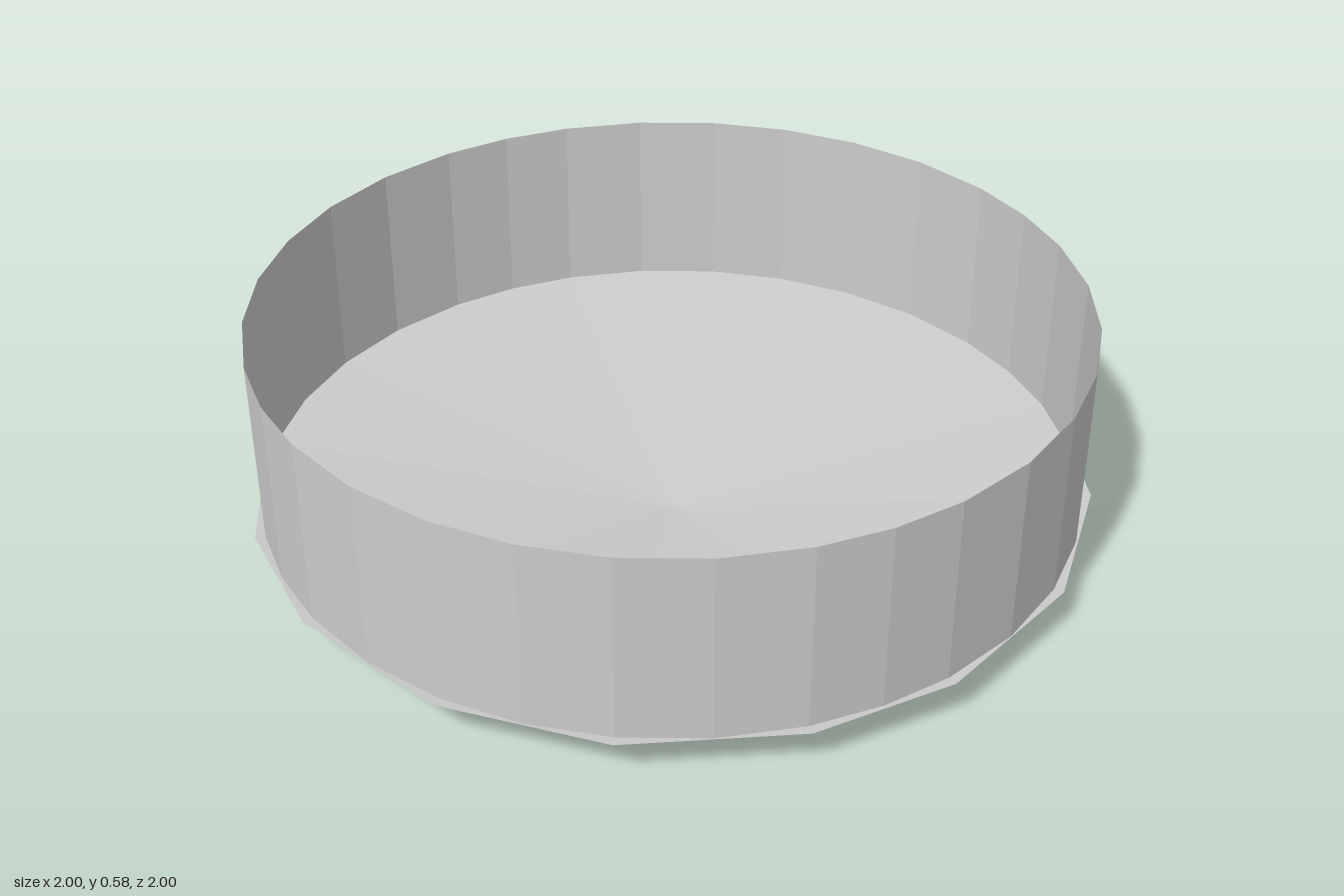
import * as THREE from 'three';

const FLOOR_RADIUS = 1.01;
const WALL_RADIUS = 0.986;
const RIM_Y = 0.577;
const BASE_Y = 0.118;

// Slightly uneven corner angles (degrees from +z), repeated every quarter turn
const QUARTER = [8.1, 30.8, 54.3, 74.2];
const cornerAngle = (i) => QUARTER[i % 4] + 90 * Math.floor(i / 4);

// Open ring whose columns are moved to the uneven corner angles
function ring(topRadius, bottomRadius, yBottom, yTop, steps) {
  const sides = 16 * steps;
  const geometry = new THREE.CylinderGeometry(topRadius, bottomRadius, yTop - yBottom, sides, 1, true);
  geometry.translate(0, (yTop + yBottom) / 2, 0);
  const p = geometry.attributes.position;
  for (let v = 0; v < p.count; v++) {
    const column = v % (sides + 1);
    const corner = Math.floor(column / steps);
    const a = THREE.MathUtils.degToRad(
      THREE.MathUtils.lerp(cornerAngle(corner), cornerAngle(corner + 1), (column % steps) / steps));
    const r = Math.hypot(p.getX(v), p.getZ(v));
    p.setX(v, r * Math.sin(a));
    p.setZ(v, r * Math.cos(a));
  }
  geometry.computeVertexNormals();
  return geometry;
}

export function createModel() {
  const group = new THREE.Group();
  group.name = 'shallowPan';
  const material = new THREE.MeshStandardMaterial({
    color: 0xcccccc, flatShading: true, side: THREE.DoubleSide,
  });
  const add = (name, geometry) => {
    const mesh = new THREE.Mesh(geometry, material);
    mesh.name = name;
    group.add(mesh);
  };

  // Thin upright wall, two facets per floor side
  add('wall', ring(WALL_RADIUS, WALL_RADIUS, BASE_Y, RIM_Y, 2));
  // Shallow conical floor whose corners stick out past the wall
  add('floor', ring(FLOOR_RADIUS, 0, 0, BASE_Y, 1));

  return group;
}
